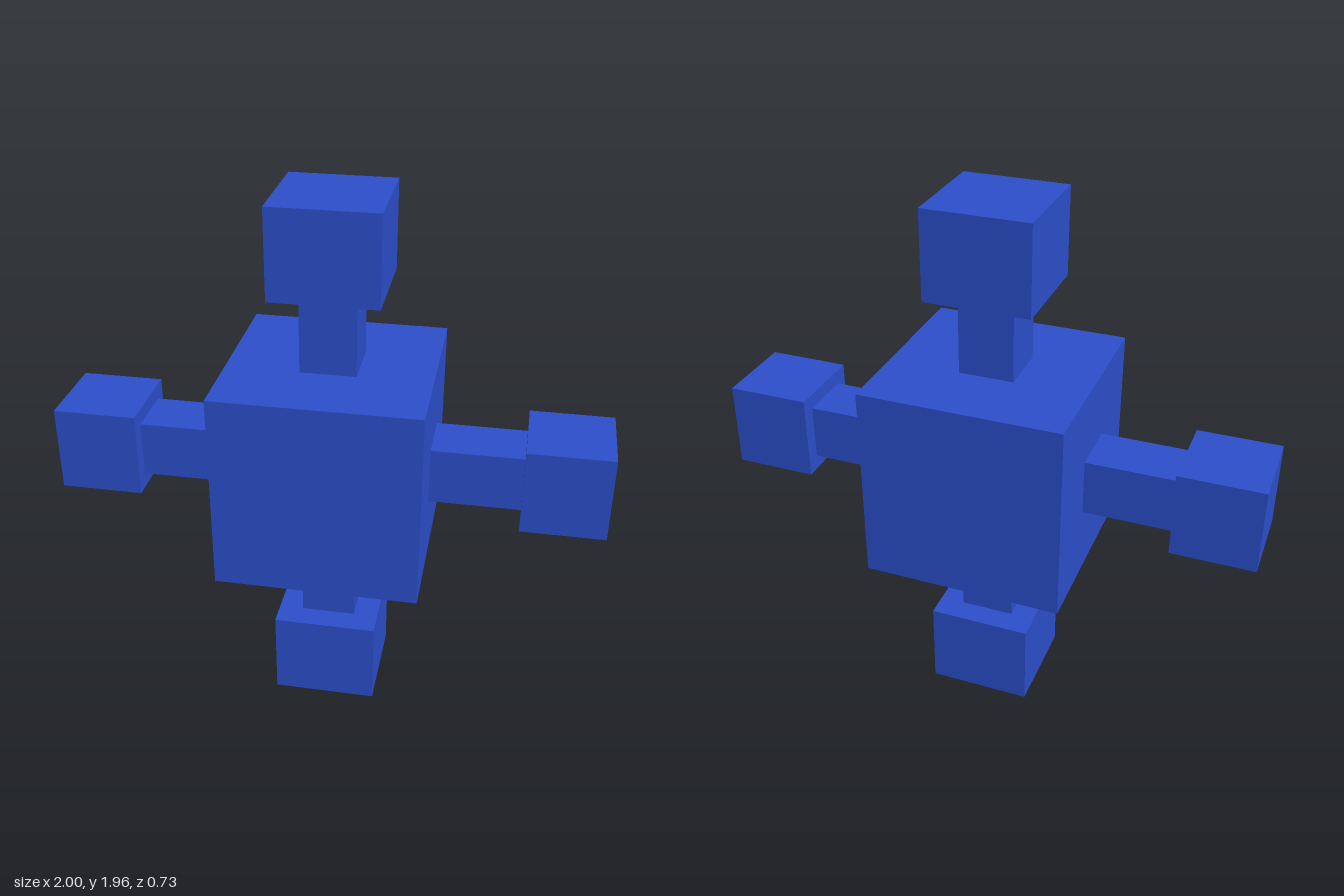
import * as THREE from 'three';

export function createModel() {
  const model = new THREE.Group();
  const blue = new THREE.MeshStandardMaterial({ color: 0x2c4fcc });
  blue.name = 'blue';

  const block = (name, size, x, y) => {
    const mesh = new THREE.Mesh(new THREE.BoxGeometry(...size), blue);
    mesh.name = name;
    mesh.position.set(x, y, 0);
    model.add(mesh);
  };

  // central cube
  block('core', [0.732, 0.732, 0.732], 0, 0.982);

  // vertical posts with end blocks
  block('upperPost', [0.2, 0.29, 0.2], 0, 1.493);
  block('topBlock', [0.382, 0.322, 0.382], 0, 1.799);
  block('lowerPost', [0.2, 0.29, 0.2], 0, 0.471);
  block('bottomBlock', [0.382, 0.326, 0.382], 0, 0.163);

  // side arms with end blocks
  for (const [side, s] of [['left', 1], ['right', -1]]) {
    block(side + 'Arm', [0.33, 0.208, 0.208], s * 0.531, 0.982);
    block(side + 'EndBlock', [0.304, 0.317, 0.317], s * 0.848, 0.982);
  }

  return model;
}
